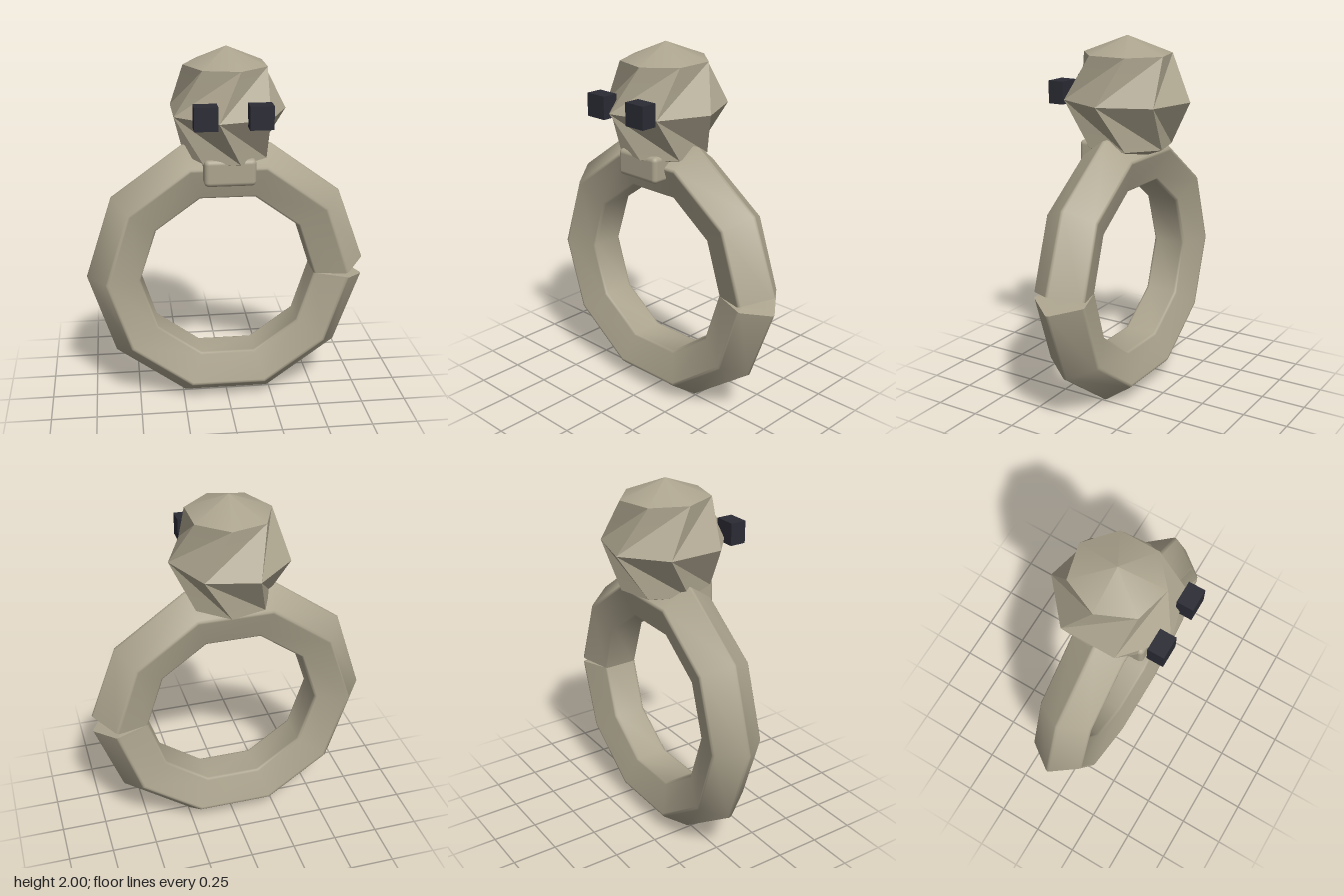
import * as THREE from 'three';
import { toCreasedNormals } from 'three/addons/utils/BufferGeometryUtils.js';
import { RoundedBoxGeometry } from 'three/addons/geometries/RoundedBoxGeometry.js';

const Z0 = -0.012; // depth of the ring and head centre

// Five-sided tube swept round a decagon, split by a wedge-shaped notch at +x
function ringGeometry() {
  const R = 0.615, tube = 0.164, steps = 10, bevel = 0.07;
  const corners = [];
  for (let i = 0; i < 5; i++) {
    const a = (i * Math.PI * 2) / 5;
    corners.push(new THREE.Vector2(R + tube * Math.cos(a), tube * Math.sin(a)));
  }
  // soften each corner of the section with a small three-point bevel
  const section = [];
  corners.forEach((c, i) => {
    const before = c.clone().lerp(corners[(i + 4) % 5], bevel);
    const after = c.clone().lerp(corners[(i + 1) % 5], bevel);
    const mid = before.clone().add(after).multiplyScalar(0.25).addScaledVector(c, 0.5);
    section.push(before, mid, after);
  });
  const n = section.length, pos = [], index = [];
  const addSection = (j) => {
    const a = (j * Math.PI * 2) / steps;
    const side = j === 0 ? 1 : j === steps ? -1 : 0;
    for (const p of section) {
      const open = side * Math.max(0, p.x - 0.62) * 0.33;
      pos.push(p.x * Math.cos(a), p.x * Math.sin(a) + open, p.y);
    }
  };
  for (let j = 0; j <= steps; j++) addSection(j);
  for (let j = 0; j < steps; j++) {
    for (let i = 0; i < n; i++) {
      const k = (i + 1) % n;
      const a = j * n + i, b = (j + 1) * n + i, c = (j + 1) * n + k, d = j * n + k;
      index.push(a, b, c, a, c, d);
    }
  }
  // end faces of the notch
  for (const j of [0, steps]) {
    const start = pos.length / 3;
    addSection(j);
    const centre = pos.length / 3;
    pos.push(0.62, 0, 0);
    for (let i = 0; i < n; i++) {
      const a = start + i, b = start + ((i + 1) % n);
      if (j === 0) index.push(centre, a, b);
      else index.push(centre, b, a);
    }
  }
  const g = new THREE.BufferGeometry();
  g.setAttribute('position', new THREE.Float32BufferAttribute(pos, 3));
  g.setIndex(index);
  g.computeVertexNormals();
  return g;
}

// Seven-sided gem: upper and lower rims are twisted a step and a half from the middle
function headGeometry() {
  const n = 7, step = (Math.PI * 2) / n, pos = [];
  const point = (i, scale, y, twist) => {
    const a = i * step - twist;
    return [0.32 * scale * Math.cos(a), y, 0.348 * scale * Math.sin(a)];
  };
  for (const s of [1, -1]) {
    const tri = (a, b, c) => pos.push(...a, ...(s > 0 ? b : c), ...(s > 0 ? c : b));
    const mid = (i) => point(i, 1, 0, 0);
    const rim = (i) => point(i, 0.71, s * 0.243, step * 1.5);
    for (let i = 0; i < n; i++) {
      tri(rim(i), rim(i + 1), mid(i));
      tri(mid(i), rim(i + 1), mid(i + 1));
      tri([0, s * 0.337, 0], rim(i + 1), rim(i));
    }
  }
  const g = new THREE.BufferGeometry();
  g.setAttribute('position', new THREE.Float32BufferAttribute(pos, 3));
  return toCreasedNormals(g, 0.5);
}

export function createModel() {
  const model = new THREE.Group();
  model.name = 'ringFigure';
  const stone = new THREE.MeshStandardMaterial({ color: 0xaca48e });
  stone.name = 'warm grey stone';
  const dark = new THREE.MeshStandardMaterial({ color: 0x2b2b35 });
  dark.name = 'dark eye';

  const add = (name, geometry, material, x, y, z) => {
    const mesh = new THREE.Mesh(geometry, material);
    mesh.name = name;
    mesh.position.set(x, y, z);
    model.add(mesh);
  };

  add('ringBody', ringGeometry(), stone, 0, 0.74, Z0);
  add('head', headGeometry(), stone, 0, 1.663, Z0);

  // block under the head at the front
  add('chinBlock', new RoundedBoxGeometry(0.275, 0.145, 0.13, 3, 0.025), stone, 0, 1.37, 0.145);

  // square eyes
  for (const [name, s] of [['leftEye', 1], ['rightEye', -1]]) {
    add(name, new THREE.BoxGeometry(0.122, 0.122, 0.09), dark, s * 0.14, 1.697, 0.312);
  }
  return model;
}
